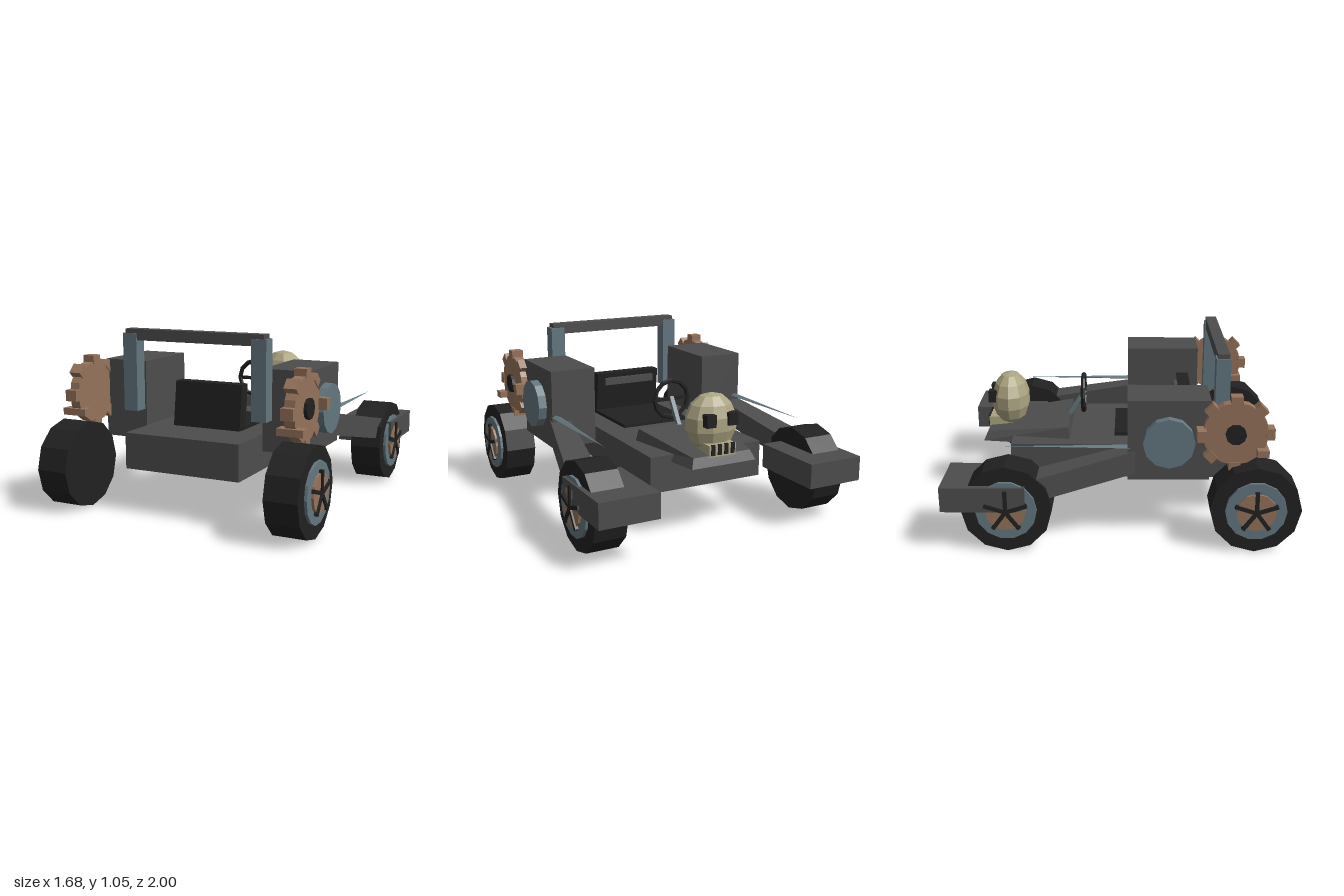
import * as THREE from 'three';

const mat = (name, color) => {
  const m = new THREE.MeshStandardMaterial({ color });
  m.name = name;
  return m;
};

export function createModel() {
  const grey = mat('dark grey metal', 0x4d4d4d);
  const black = mat('black rubber', 0x212121);
  const blue = mat('blue steel', 0x63767f);
  const rust = mat('rusty copper', 0x95735b);
  const bone = mat('bone', 0xaba481);

  const root = new THREE.Group();
  root.name = 'buggy';

  // Faceted mesh helper
  function add(parent, name, geo, material, x = 0, y = 0, z = 0) {
    const g = geo.index ? geo.toNonIndexed() : geo;
    g.computeVertexNormals();
    const m = new THREE.Mesh(g, material);
    m.name = name;
    m.position.set(x, y, z);
    parent.add(m);
    return m;
  }
  // Box given by its limits on each axis
  function box(parent, name, material, [x0, x1], [y0, y1], [z0, z1]) {
    return add(parent, name, new THREE.BoxGeometry(Math.abs(x1 - x0), y1 - y0, z1 - z0), material,
      (x0 + x1) / 2, (y0 + y1) / 2, (z0 + z1) / 2);
  }
  // Disc lying across the x axis
  const disc = (r, w, n) => new THREE.CylinderGeometry(r, r, w, n).rotateZ(Math.PI / 2);
  // Box whose corners are placed by a rule on their signs
  function warped(rule) {
    const g = new THREE.BoxGeometry(2, 2, 2);
    const p = g.attributes.position;
    for (let i = 0; i < p.count; i++) p.setXYZ(i, ...rule(p.getX(i), p.getY(i), p.getZ(i)));
    return g;
  }

  // Chassis
  box(root, 'chassis', grey, [-0.36, 0.36], [0.26, 0.47], [-0.66, 0.76]);

  // Tapered hood with a bevelled top
  add(root, 'hood', warped((x, y, z) => {
    const rear = z < 0, top = y > 0;
    return [
      x * ((rear ? 0.205 : 0.285) - (top ? 0.022 : 0)),
      top ? (rear ? 0.485 : 0.54) : 0.43,
      rear ? (top ? -0.82 : -0.845) : (top ? -0.325 : -0.31),
    ];
  }), grey);

  // Seat
  box(root, 'seatCushion', black, [-0.22, 0.22], [0.46, 0.49], [-0.045, 0.42]);
  add(root, 'seatBack', warped((x, y, z) => [
    x * 0.217, y > 0 ? 0.735 : 0.47, (y > 0 ? 0.3825 : 0.4175) + z * 0.0375,
  ]), black);
  box(root, 'seatBackTrim', grey, [-0.17, 0.17], [0.66, 0.705], [0.327, 0.355]);

  // Steering wheel and column
  add(root, 'steeringWheel', new THREE.TorusGeometry(0.113, 0.015, 6, 12), black, 0, 0.675, -0.24);
  box(root, 'steeringSpoke', black, [-0.11, 0.11], [0.665, 0.685], [-0.248, -0.232]);
  const column = add(root, 'steeringColumn', new THREE.BoxGeometry(0.026, 0.2, 0.026), blue, 0, 0.6, -0.29);
  column.rotation.x = Math.atan2(0.09, 0.14);

  // Roll bar
  box(root, 'rollBarCross', grey, [-0.44, 0.44], [0.985, 1.05], [0.543, 0.612]);

  // Skull ornament on the hood
  const skull = new THREE.Group();
  skull.name = 'skull';
  root.add(skull);
  add(skull, 'cranium', new THREE.SphereGeometry(1, 10, 7).scale(0.16, 0.17, 0.118), bone, 0, 0.64, -0.695);
  box(skull, 'jaw', bone, [-0.085, 0.085], [0.47, 0.54], [-0.825, -0.68]);
  for (const s of [-1, 1]) {
    box(skull, 'eyeSocket', black, [s * 0.04, s * 0.1], [0.64, 0.71], [-0.822, -0.77]);
  }
  for (let i = 0; i < 4; i++) {
    const x = (i - 1.5) * 0.042;
    box(skull, 'toothGap', black, [x - 0.011, x + 0.011], [0.485, 0.545], [-0.832, -0.82]);
  }

  // Wheel: tyre, rim, hub and five spokes
  function wheel(parent, name, s, z) {
    const g = new THREE.Group();
    g.name = name;
    g.position.set(0, 0.257, z);
    parent.add(g);
    add(g, 'tyre', disc(0.255, 0.19, 12), black, s * 0.705);
    add(g, 'rim', disc(0.172, 0.04, 14), blue, s * 0.796);
    add(g, 'hub', disc(0.112, 0.04, 12), rust, s * 0.81);
    for (let i = 0; i < 5; i++) {
      const spoke = new THREE.BoxGeometry(0.02, 0.125, 0.022).translate(0, 0.0625, 0)
        .rotateX(i * Math.PI * 2 / 5);
      add(g, 'spoke', spoke, black, s * 0.83);
    }
  }

  // Toothed gear, two of its teeth set sideways
  function gear(parent, s) {
    const g = new THREE.Group();
    g.name = 'gear';
    g.position.set(s * 0.67, 0.672, 0.63);
    parent.add(g);
    add(g, 'gearDisc', disc(0.182, 0.06, 16), rust);
    add(g, 'gearHub', disc(0.058, 0.05, 10), black, s * 0.026);
    for (let i = 0; i < 8; i++) {
      if (i === 3) continue;
      const wide = i === 6;
      const tooth = new THREE.BoxGeometry(wide ? 0.15 : 0.072, 0.05, 0.065).translate(0, 0.19, 0)
        .rotateX(i * Math.PI / 4);
      add(g, 'gearTooth', tooth, rust, wide ? s * 0.005 : 0);
    }
    add(g, 'gearTooth', new THREE.BoxGeometry(0.15, 0.04, 0.065), rust, s * 0.005, -0.1, 0.15);
  }

  for (const s of [1, -1]) {
    const side = new THREE.Group();
    side.name = s > 0 ? 'leftSide' : 'rightSide';
    root.add(side);

    box(side, 'rollBarPost', blue, [s * 0.365, s * 0.455], [0.57, 1.025], [0.535, 0.618]);
    box(side, 'engineBox', grey, [s * 0.38, s * 0.66], [0.38, 0.85], [0.035, 0.495]);
    add(side, 'pulley', disc(0.145, 0.1, 12), blue, s * 0.66, 0.614, 0.265);
    box(side, 'rearFender', grey, [s * 0.48, s * 0.83], [0.255, 0.4], [-1, -0.53]);

    // Arm widening and dropping toward the rear wheel
    add(side, 'rearArm', warped((x, y, z) => {
      const rear = z < 0, outer = x * s > 0;
      return [
        s * (outer ? (rear ? 0.795 : 0.655) : (rear ? 0.62 : 0.53)),
        (rear ? 0.36 : 0.488) + y * 0.067,
        rear ? -0.5 : 0.1,
      ];
    }), grey);

    // Slim rod tapering to a point
    add(side, 'taperedRod', new THREE.ConeGeometry(0.028, 0.72, 4).rotateX(-Math.PI / 2).scale(1, 0.45, 1),
      blue, s * 0.635, 0.57, -0.31);

    wheel(side, 'frontWheel', s, 0.748);
    wheel(side, 'rearWheel', s, -0.638);
    gear(side, s);
  }
  return root;
}
